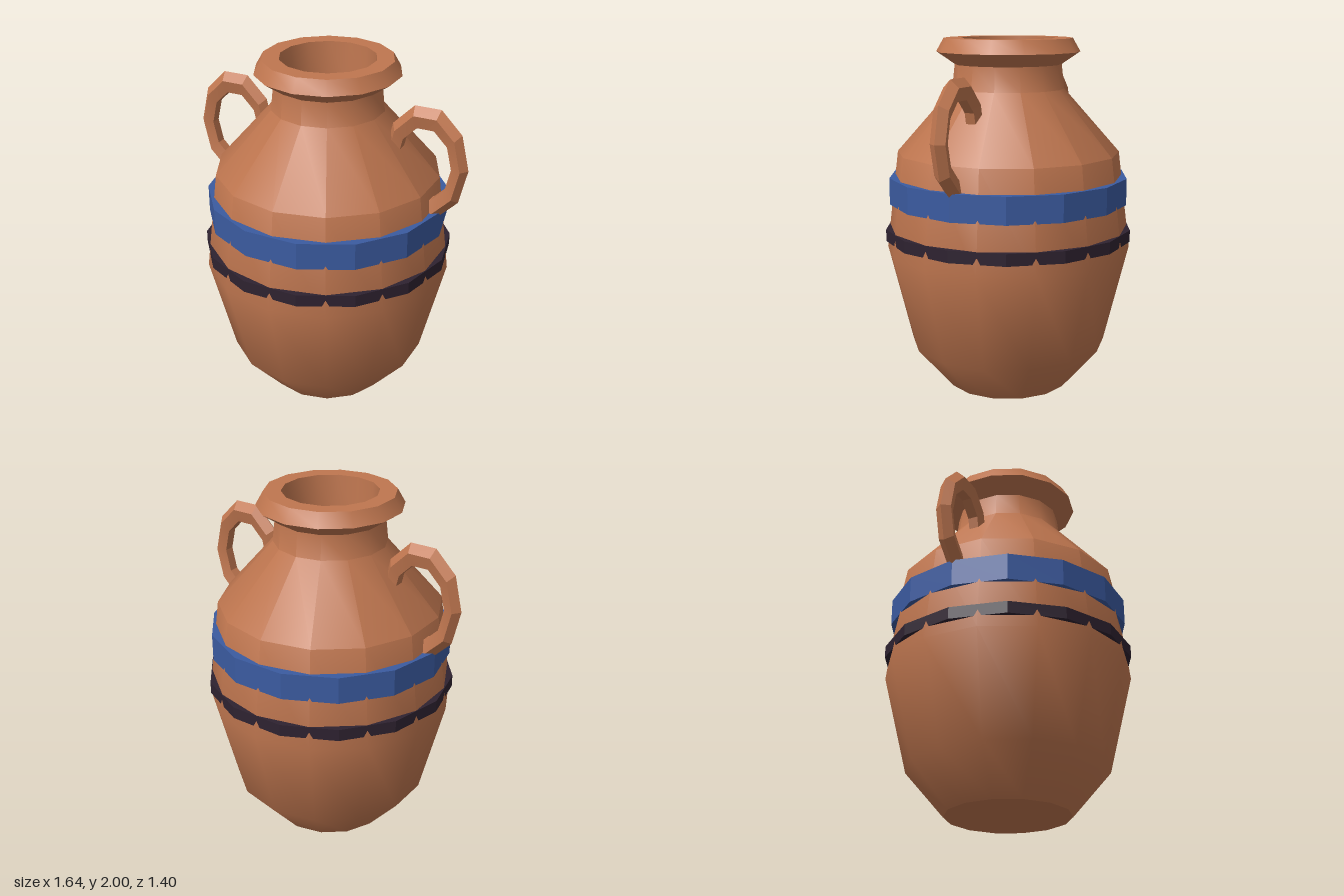
import * as THREE from 'three';
import { toCreasedNormals } from 'three/addons/utils/BufferGeometryUtils.js';

const SIDES = 14;
const SMOOTH = 0.7;
const FLAT = 0.3;

const terracotta = new THREE.MeshStandardMaterial({ color: 0xbf764f });
terracotta.name = 'terracotta';
const blueGlaze = new THREE.MeshStandardMaterial({ color: 0x3b5ba0 });
blueGlaze.name = 'blue glaze';
const darkGlaze = new THREE.MeshStandardMaterial({ color: 0x2e2230 });
darkGlaze.name = 'dark glaze';
const waterBlue = new THREE.MeshStandardMaterial({ color: 0x4a90d9 });
waterBlue.name = 'water blue';

function part(name, geometry, material, crease) {
  const mesh = new THREE.Mesh(toCreasedNormals(geometry, crease), material);
  mesh.name = name;
  return mesh;
}

// Revolve [radius, height] pairs; start turns the polygon
function revolve(profile, start = 0) {
  const points = profile.map(([r, y]) => new THREE.Vector2(r, y));
  return new THREE.LatheGeometry(points, SIDES, start);
}

// Flat-sided hoop, turned half a side against the body
function band(name, radius, bottom, top, material) {
  const inner = 0.6;
  const profile = [[inner, bottom], [radius, bottom], [radius, top], [inner, top]];
  return part(name, revolve(profile, Math.PI / SIDES), material, FLAT);
}

export function createModel() {
  const jar = new THREE.Group();
  jar.name = 'jar';

  // Body, neck and lip, continuing down the inside of the neck
  jar.add(part('body', revolve([
    [0, 0], [0.35, 0], [0.562, 0.245], [0.7, 0.805], [0.63, 1.363], [0.315, 1.72],
    [0.3, 1.855], [0.403, 1.925], [0.36, 2], [0.265, 2], [0.25, 1.74], [0, 1.74],
  ]), terracotta, SMOOTH));

  // Glazed bands
  jar.add(band('upperBand', 0.68, 1.08, 1.23, blueGlaze));
  jar.add(band('lowerBand', 0.705, 0.87, 0.937, darkGlaze));

  // Water surface inside the neck
  const water = new THREE.CircleGeometry(0.25, SIDES).rotateX(-Math.PI / 2);
  water.translate(0, 1.78, 0);
  jar.add(part('water', water, waterBlue, FLAT));

  // Oval ring handles, sunk into the shoulder
  for (const side of [1, -1]) {
    const ring = new THREE.TorusGeometry(0.192, 0.048, 5, 10);
    ring.scale(1, 1.375, 1);
    if (side < 0) ring.rotateY(Math.PI);
    ring.translate(side * 0.58, 1.5, 0);
    jar.add(part(side > 0 ? 'leftHandle' : 'rightHandle', ring, terracotta, FLAT));
  }

  return jar;
}
